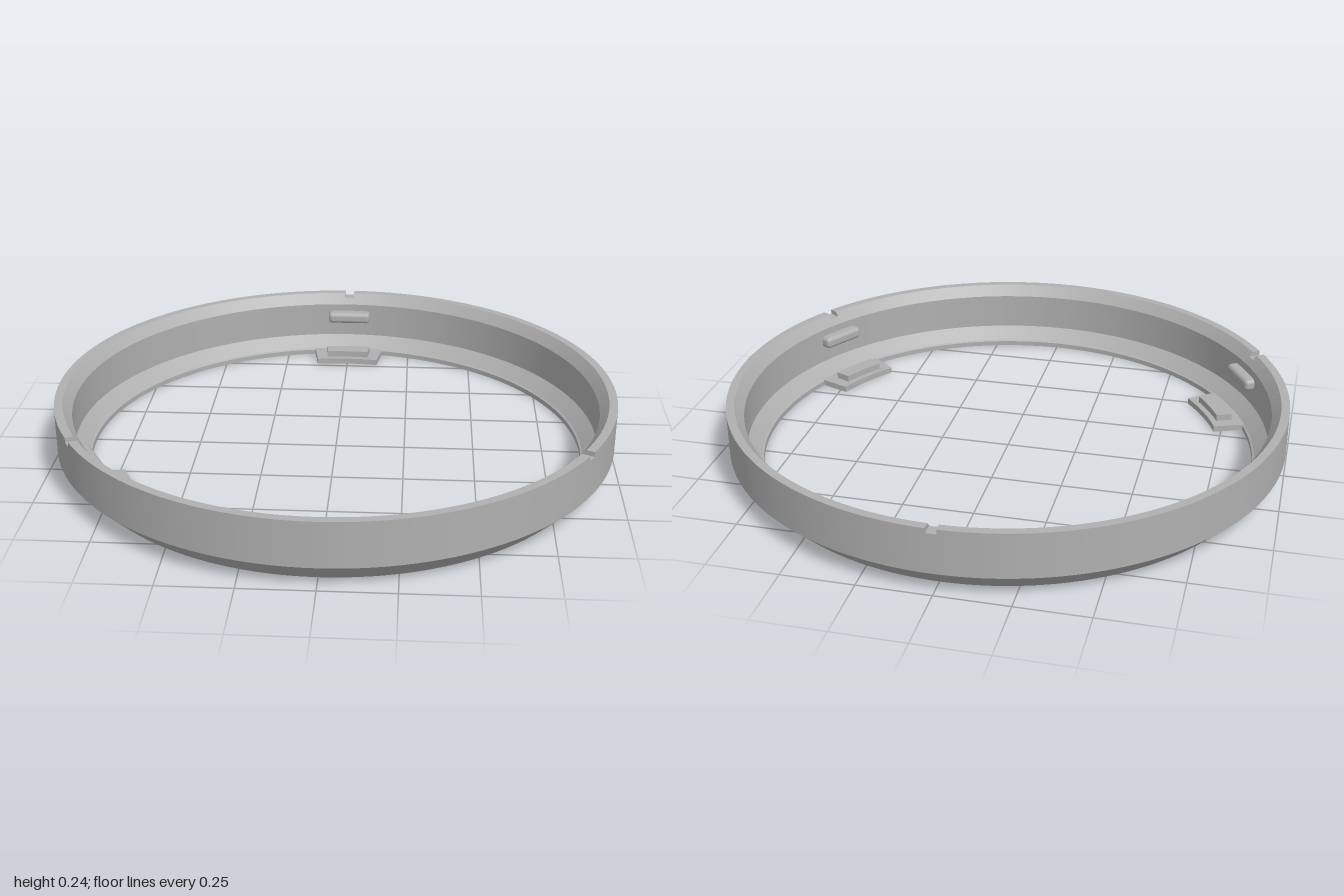
import * as THREE from 'three';
import { mergeGeometries } from 'three/addons/utils/BufferGeometryUtils.js';
import { RoundedBoxGeometry } from 'three/addons/geometries/RoundedBoxGeometry.js';

const THIRD = (Math.PI * 2) / 3;
const NOTCH_HALF = 0.018; // half angle of a rim notch
const NOTCH_Y = 0.223; // floor height of the notches
const NOTCH_R = 0.957; // inner radius at the notch floor

// Revolves each profile segment on its own so the edges between them stay crisp
function revolve(points, segments, start = 0, sweep = Math.PI * 2) {
  const parts = [];
  for (let i = 0; i < points.length - 1; i++) {
    const pair = [points[i], points[i + 1]].map(([r, y]) => new THREE.Vector2(r, y));
    parts.push(new THREE.LatheGeometry(pair, segments, start, sweep));
  }
  return mergeGeometries(parts);
}

// Flat plate shaped as a ring sector, centred on the back (-z)
function sector(inner, outer, half, y, height) {
  const mid = Math.PI / 2;
  const shape = new THREE.Shape();
  shape.absarc(0, 0, outer, mid - half, mid + half, false);
  shape.absarc(0, 0, inner, mid + half, mid - half, true);
  const geo = new THREE.ExtrudeGeometry(shape, { depth: height, bevelEnabled: false, curveSegments: 10 });
  return geo.rotateX(-Math.PI / 2).translate(0, y, 0);
}

export function createModel() {
  const model = new THREE.Group();
  model.name = 'retainingRing';
  const grey = new THREE.MeshStandardMaterial({ color: 0xb0b0b0, side: THREE.DoubleSide });
  grey.name = 'grey';

  const add = (parent, name, geometry) => {
    const mesh = new THREE.Mesh(geometry, grey);
    mesh.name = name;
    parent.add(mesh);
    return mesh;
  };

  // Main ring: sloped seat, straight inner wall, bevelled foot and outer wall
  add(model, 'ringBody', revolve([
    [NOTCH_R, NOTCH_Y], [0.94, 0.2], [0.94, 0.066], [0.892, 0.022],
    [0.885, 0.018], [0.885, 0], [0.92, 0], [1, 0.08], [1, NOTCH_Y],
  ], 144));

  // Top rim in three arcs, separated by the notches
  const rim = [[1, NOTCH_Y], [1, 0.24], [0.97, 0.24], [NOTCH_R, NOTCH_Y]];
  const endShape = new THREE.Shape(rim.map(([r, y]) => new THREE.Vector2(r, y)));

  for (let i = 0; i < 3; i++) {
    const angle = Math.PI + i * THIRD;
    const start = angle + NOTCH_HALF;
    const sweep = THIRD - 2 * NOTCH_HALF;
    add(model, 'rimArc', revolve(rim, 48, start, sweep));
    for (const end of [start, start + sweep]) {
      add(model, 'notchSide', new THREE.ShapeGeometry(endShape)).rotation.y = end - Math.PI / 2;
    }
    add(model, 'notchFloor', revolve([[1, NOTCH_Y], [NOTCH_R, NOTCH_Y]], 2, angle - NOTCH_HALF, 2 * NOTCH_HALF));

    // Support tab with raised pad, and the snap bump on the wall above it
    const station = new THREE.Group();
    station.name = 'supportStation';
    station.rotation.y = i * THIRD;
    add(station, 'supportTab', sector(0.775, 0.895, 0.158, 0, 0.022));
    add(station, 'tabPad', sector(0.797, 0.856, 0.104, 0.022, 0.024));
    const bump = add(station, 'snapBump', new RoundedBoxGeometry(0.172, 0.045, 0.06, 4, 0.016));
    bump.position.set(0, 0.15, -0.93);
    model.add(station);
  }
  return model;
}
